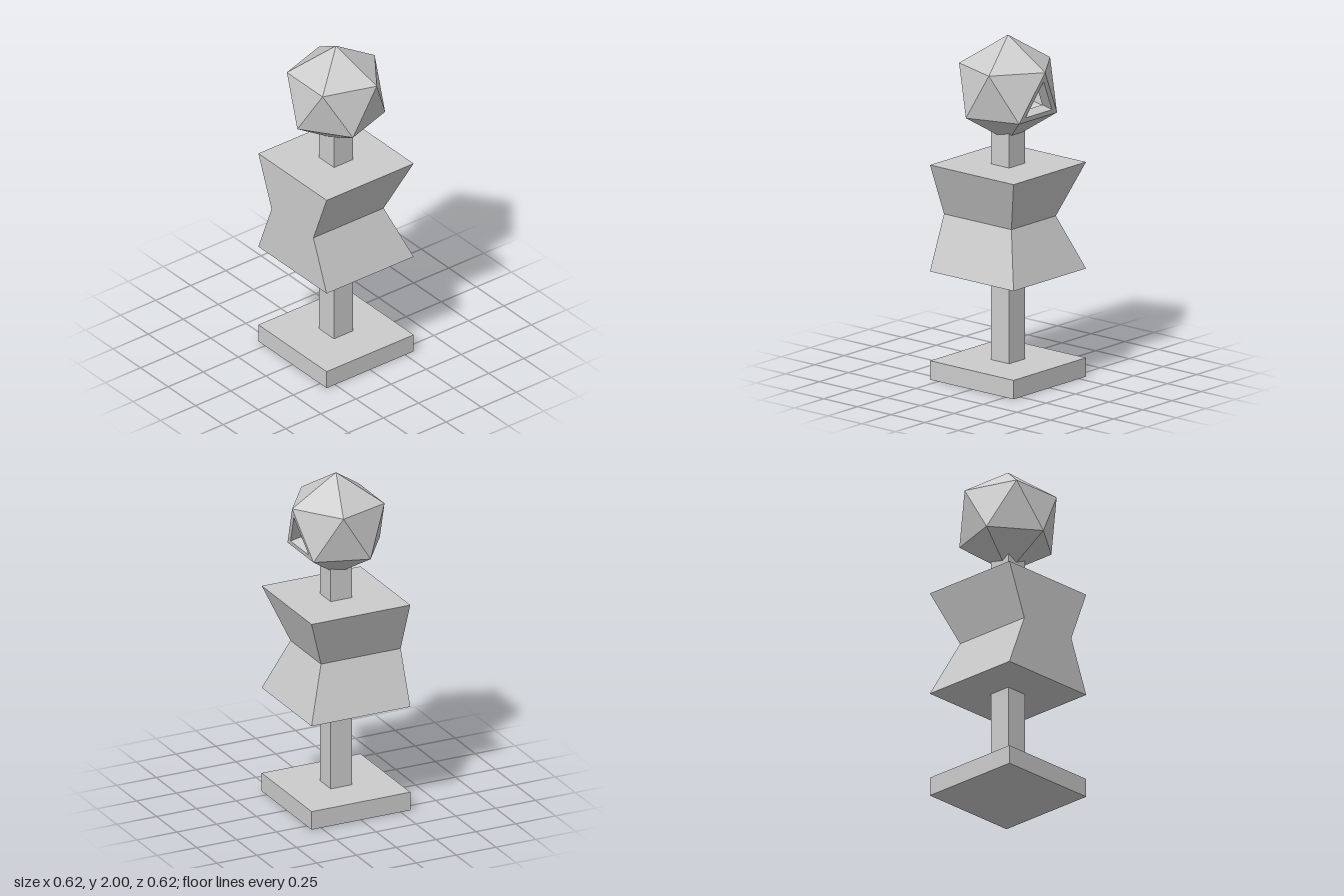
import * as THREE from 'three';

const material = new THREE.MeshStandardMaterial({ color: 0xcccccc, flatShading: true });

function addMesh(group, name, geometry, y = 0) {
  const mesh = new THREE.Mesh(geometry, material);
  mesh.name = name;
  mesh.position.y = y;
  group.add(mesh);
}

// Square block standing between two heights
function addBlock(group, name, width, y0, y1) {
  addMesh(group, name, new THREE.BoxGeometry(width, y1 - y0, width), (y0 + y1) / 2);
}

// Block pinched at mid-height on the sides and back; the front stays flat
function waistedBody(size, waist) {
  const geometry = new THREE.BoxGeometry(size, size, size, 1, 2, 1);
  const p = geometry.attributes.position;
  for (let i = 0; i < p.count; i++) {
    if (Math.abs(p.getY(i)) > 0.01) continue;
    p.setX(i, Math.sign(p.getX(i)) * waist);
    if (p.getZ(i) < 0) p.setZ(i, -waist);
  }
  geometry.computeVertexNormals();
  return geometry;
}

// Hollow icosahedron with a triangular opening in its back face
function hollowHead(radius, innerScale, holeScale) {
  const positions = [];
  const tri = (a, b, c) => [a, b, c].forEach((v) => positions.push(v.x, v.y, v.z));
  const quad = (a, b, c, d) => { tri(a, b, c); tri(a, c, d); };
  const inner = (v) => v.clone().multiplyScalar(innerScale);
  const shell = (a, b, c) => { tri(a, b, c); tri(inner(a), inner(c), inner(b)); };
  const ring = (y, offset) => Array.from({ length: 5 }, (_, i) => {
    const a = Math.PI + offset + (i * Math.PI * 2) / 5;
    const r = (radius * 2) / Math.sqrt(5);
    return new THREE.Vector3(Math.sin(a) * r, y, Math.cos(a) * r);
  });
  const top = new THREE.Vector3(0, radius, 0);
  const bottom = new THREE.Vector3(0, -radius, 0);
  const upper = ring(radius / Math.sqrt(5), 0);
  const lower = ring(-radius / Math.sqrt(5), Math.PI / 5);

  for (let i = 0; i < 5; i++) {
    const next = (i + 1) % 5;
    shell(top, upper[i], upper[next]);
    shell(upper[i], lower[i], upper[next]);
    shell(bottom, lower[next], lower[i]);
    if (i > 0) shell(lower[i - 1], lower[i], upper[i]);
  }

  // Frame and walls of the opening
  const corners = [lower[4], lower[0], upper[0]];
  const centre = new THREE.Vector3();
  corners.forEach((c) => centre.addScaledVector(c, 1 / 3));
  const hole = corners.map((c) => centre.clone().lerp(c, holeScale));
  for (let j = 0; j < 3; j++) {
    const k = (j + 1) % 3;
    quad(corners[j], corners[k], hole[k], hole[j]);
    quad(hole[j], hole[k], inner(hole[k]), inner(hole[j]));
    quad(inner(hole[j]), inner(hole[k]), inner(corners[k]), inner(corners[j]));
  }

  const geometry = new THREE.BufferGeometry();
  geometry.setAttribute('position', new THREE.Float32BufferAttribute(positions, 3));
  geometry.computeVertexNormals();
  return geometry;
}

export function createModel() {
  const model = new THREE.Group();
  model.name = 'pedestalFigure';
  addBlock(model, 'base', 0.62, 0, 0.11);
  addBlock(model, 'lowerPost', 0.134, 0.11, 0.63);
  addMesh(model, 'body', waistedBody(0.62, 0.19), 0.94);
  addBlock(model, 'neck', 0.134, 1.25, 1.465);
  addMesh(model, 'head', hollowHead(0.308, 0.78, 0.7), 1.692);
  return model;
}
